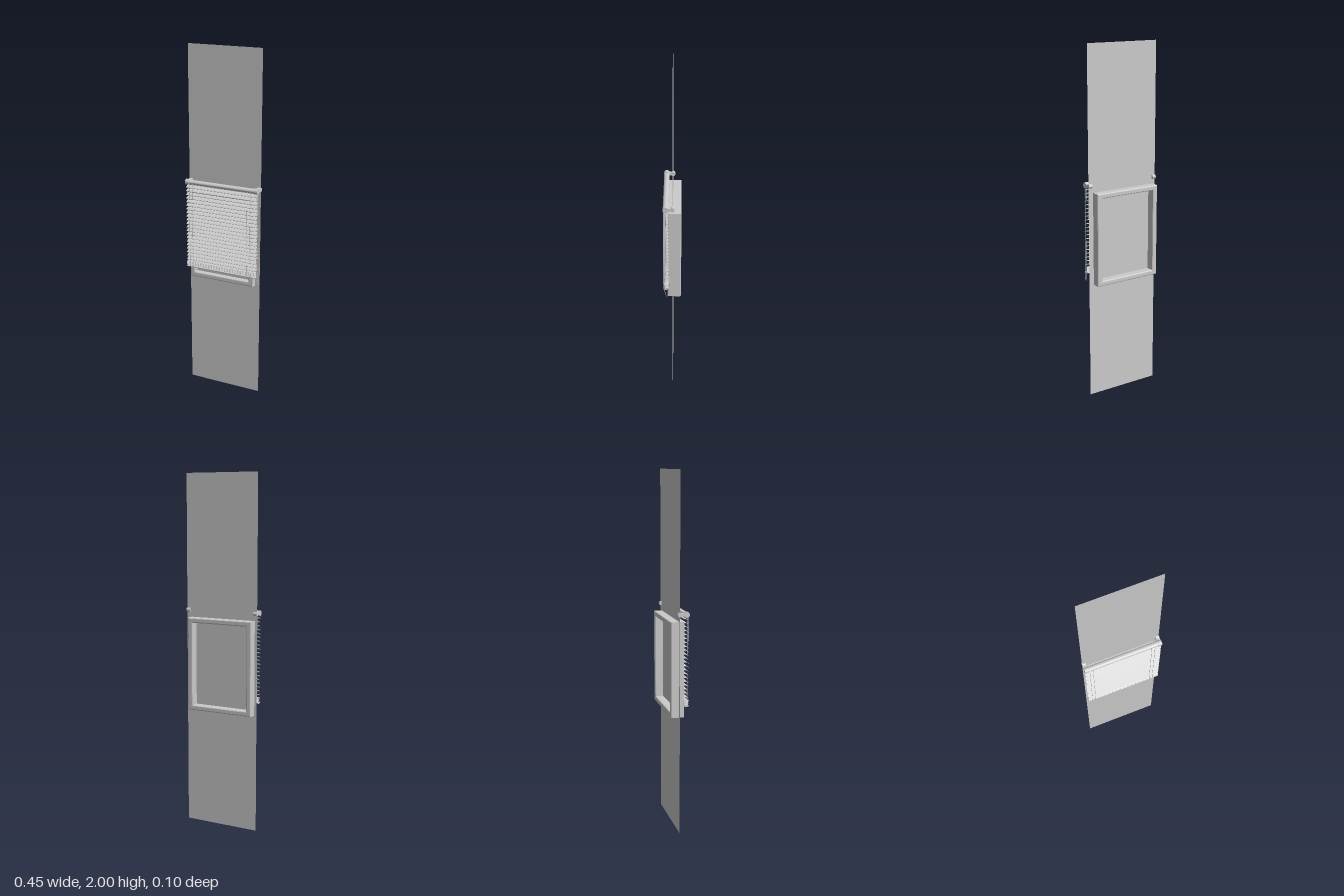
import * as THREE from 'three';

const MID = -0.004; // shared centre of the blind and the panel in x

export function createModel() {
  const model = new THREE.Group();
  const mat = new THREE.MeshStandardMaterial({ color: 0xcccccc, side: THREE.DoubleSide });
  const add = (name, geo, x = 0, y = 0, z = 0) => {
    const mesh = new THREE.Mesh(geo, mat);
    mesh.name = name;
    mesh.position.set(x, y, z);
    model.add(mesh);
    return mesh;
  };
  const tube = (name, pts, r, seg = 40) => add(name, new THREE.TubeGeometry(
    new THREE.CatmullRomCurve3(pts.map(p => new THREE.Vector3(...p))), seg, r, 6));
  // Extrude a (z, y) profile along x, centred on the origin
  const alongX = (shape, width, curveSegments = 12) => {
    const geo = new THREE.ExtrudeGeometry(shape, { depth: width, bevelEnabled: false, curveSegments });
    return geo.translate(0, 0, -width / 2).rotateY(-Math.PI / 2);
  };

  // Thin wall panel
  add('wallPanel', new THREE.PlaneGeometry(0.44, 2), MID, 1, -0.004);

  // Window frame with softened edges, set through the panel
  const rect = (path, w, h) => path.moveTo(-w / 2, -h / 2).lineTo(w / 2, -h / 2)
    .lineTo(w / 2, h / 2).lineTo(-w / 2, h / 2).closePath();
  const bevel = 0.006;
  const frame = rect(new THREE.Shape(), 0.397 - 2 * bevel, 0.53 - 2 * bevel);
  frame.holes.push(rect(new THREE.Path(), 0.339 + 2 * bevel, 0.474 + 2 * bevel));
  add('windowFrame', new THREE.ExtrudeGeometry(frame, {
    depth: 0.076 - 2 * bevel, bevelThickness: bevel, bevelSize: bevel, bevelSegments: 3,
  }), -0.0115, 0.936, -0.051 + bevel);

  // Rounded head rail
  const rail = new THREE.Shape().absellipse(0.033, 0, 0.0155, 0.0125, 0, Math.PI * 2);
  add('headRail', alongX(rail, 0.405, 24), MID, 1.24, 0);

  // Dumbbell-shaped brackets at both ends of the rail
  const bracket = new THREE.Shape();
  bracket.absarc(0.034, 0, 0.016, -2.6, 2.6);
  bracket.absarc(-0.003, 0, 0.012, 0.6, Math.PI * 2 - 0.6);
  bracket.closePath();
  for (const side of [-1, 1]) add('bracket', alongX(bracket, 0.021, 20), MID + side * 0.2105, 1.24, 0);

  // Arched slat profile, tilted with the front edge down
  const slat = new THREE.Shape();
  slat.moveTo(-0.014, 0).quadraticCurveTo(0, 0.007, 0.014, 0)
    .lineTo(0.014, -0.0015).quadraticCurveTo(0, 0.0055, -0.014, -0.0015).closePath();
  const slatGeo = alongX(slat, 0.434, 6);
  for (let i = 0; i < 21; i++) {
    add('slat', slatGeo, MID, 1.214 - i * 0.0215, 0.033).rotation.x = 0.35;
  }

  // Gathered slats above the bottom rail
  for (let i = 0; i < 4; i++) add('stackedSlat', slatGeo, MID, 0.766 - i * 0.006, 0.033);
  const bottom = new THREE.Shape().absellipse(0.033, 0, 0.014, 0.006, 0, Math.PI * 2);
  add('bottomRail', alongX(bottom, 0.434, 16), MID, 0.738, 0);

  // Ladder cords in front of and behind the slats
  const cordGeo = new THREE.CylinderGeometry(0.001, 0.001, 0.5, 6);
  for (const x of [-0.199, -0.18, 0.157, 0.176]) {
    for (const z of [0.0185, 0.0475]) add('ladderCord', cordGeo, x, 0.985, z);
  }

  // Looped pull cord on the left side
  tube('pullCord', [
    [0.206, 1.23, 0.033], [0.214, 1.1, 0.03], [0.215, 0.94, 0.03], [0.222, 0.84, 0.013],
    [0.221, 0.74, 0.016], [0.218, 0.69, 0.028], [0.216, 0.73, 0.04],
    [0.215, 0.86, 0.034], [0.215, 1.0, 0.032], [0.21, 1.23, 0.035],
  ], 0.0015, 60);
  return model;
}
